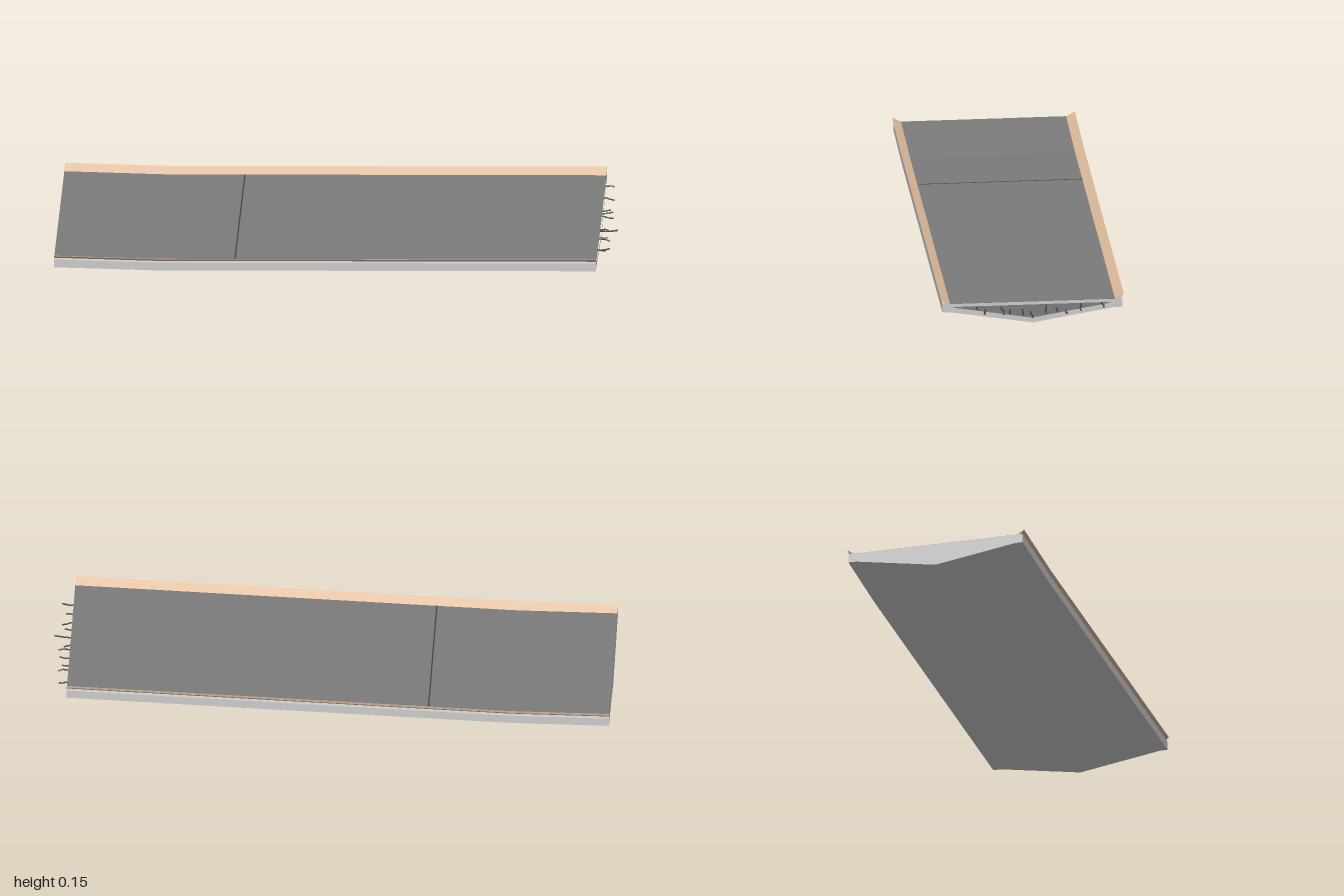
import * as THREE from 'three';

const RIGHT = 0.94, RISE = 0.053;

// level run on the left, then a steady climb to the broken end
const rise = x => RISE * Math.max(0, x + 0.64) / (RIGHT + 0.64);

const mat = color => new THREE.MeshStandardMaterial({ color });
const concrete = mat(0xcccccc), asphalt = mat(0x7c7c7c), tan = mat(0xdebb9c), steel = mat(0x444444);

// sweep a (z, y) profile along x from x0 to x1, following the climb
function sweep(name, material, profile, x0, x1, hole) {
  const shape = new THREE.Shape(profile.map(p => new THREE.Vector2(-p[0], p[1])));
  if (hole) shape.holes.push(new THREE.Path(hole.map(p => new THREE.Vector2(-p[0], p[1]))));
  const steps = Math.max(1, Math.round((x1 - x0) / 0.06));
  const geo = new THREE.ExtrudeGeometry(shape, { depth: x1 - x0, steps, bevelEnabled: false });
  geo.rotateY(Math.PI / 2).translate(x0, 0, 0);
  const pos = geo.attributes.position;
  for (let i = 0; i < pos.count; i++) pos.setY(i, pos.getY(i) + rise(pos.getX(i)));
  geo.computeVertexNormals();
  const mesh = new THREE.Mesh(geo, material);
  mesh.name = name;
  return mesh;
}

export function createModel() {
  const group = new THREE.Group();
  group.name = 'brokenRoadSection';

  // V-bottomed slab with square side ledges
  const slab = [[-0.323, 0.081], [-0.323, 0.049], [-0.295, 0.049], [0, 0],
    [0.295, 0.049], [0.323, 0.049], [0.323, 0.081]];
  const core = [[-0.282, 0.069], [-0.282, 0.06], [0, 0.012], [0.282, 0.06], [0.282, 0.069]];
  group.add(sweep('slab', concrete, slab, -1, 0.92));
  group.add(sweep('brokenRim', concrete, slab, 0.92, RIGHT, core));
  group.add(sweep('brokenCore', asphalt, core, 0.919, 0.922));

  // road surface and its cross joint
  const strip = (w, y0, y1) => [[-w, y0], [w, y0], [w, y1], [-w, y1]];
  group.add(sweep('roadSurface', asphalt, strip(0.296, 0.0805, 0.0815), -1, RIGHT));
  group.add(sweep('roadJoint', steel, strip(0.296, 0.081, 0.0819), -0.356, -0.351));

  // slanted kerbs leaning outward
  for (const s of [1, -1]) {
    const kerb = [[0.295, 0.081], [0.31, 0.081], [0.328, 0.098]].map(([z, y]) => [s * z, y]);
    group.add(sweep(s > 0 ? 'frontKerb' : 'backKerb', tan, kerb, -1, RIGHT));
  }

  // bent reinforcing bars sticking out of the broken end: z, y, tip x
  const bars = [[0.2, 0.117, 0.98], [0.17, 0.1, 0.965], [0.11, 0.108, 0.975], [0.08, 0.097, 0.965],
    [0.035, 0.098, 1], [0.005, 0.087, 0.965], [-0.05, 0.109, 0.98], [-0.087, 0.099, 0.975],
    [-0.12, 0.09, 0.965], [-0.175, 0.113, 0.975], [-0.25, 0.116, 0.97]];
  const rebar = new THREE.Group();
  rebar.name = 'reinforcingBars';
  bars.forEach(([z, y, tip], i) => {
    const dz = 0.006 * Math.sin(i * 2.3), dy = 0.007 * Math.cos(i * 1.7);
    const path = new THREE.CatmullRomCurve3([
      new THREE.Vector3(0.91, y, z),
      new THREE.Vector3(0.945, y, z),
      new THREE.Vector3((0.945 + tip) / 2, y + dy * 0.3, z + dz),
      new THREE.Vector3(tip, y + dy, z + dz * 0.6)]);
    const bar = new THREE.Mesh(new THREE.TubeGeometry(path, 8, 0.0028, 6), steel);
    bar.name = 'reinforcingBar';
    rebar.add(bar);
    const cap = new THREE.Mesh(new THREE.SphereGeometry(0.0028, 6, 4), steel);
    cap.name = 'barTip';
    cap.position.copy(path.getPoint(1));
    rebar.add(cap);
  });
  group.add(rebar);
  return group;
}
